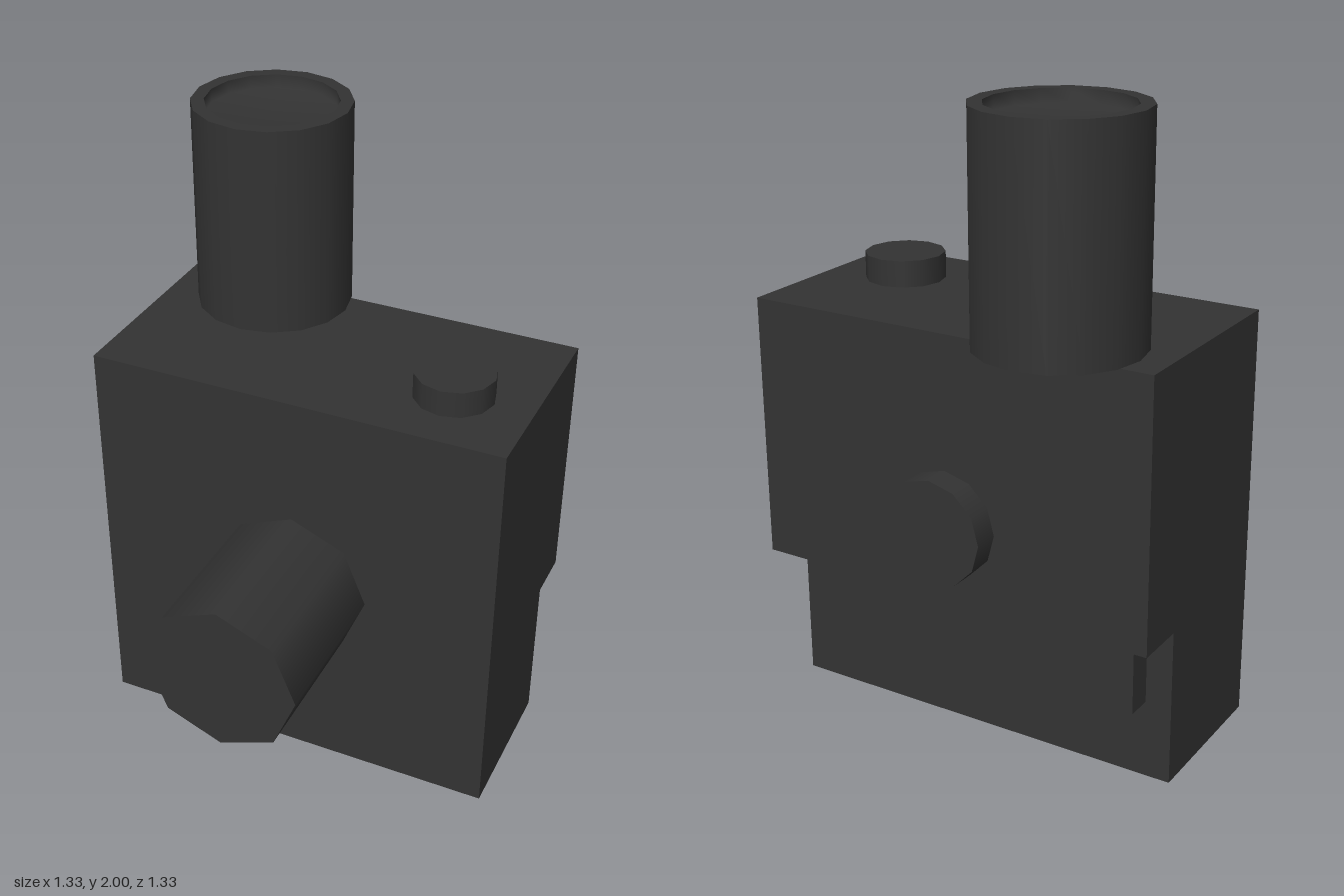
import * as THREE from 'three';

const darkPlastic = new THREE.MeshStandardMaterial({ color: 0x333333 });

function part(name, geometry, parent) {
  const mesh = new THREE.Mesh(geometry, darkPlastic);
  mesh.name = name;
  parent.add(mesh);
  return mesh;
}

function polygon(points) {
  return new THREE.Shape(points.map(([x, y]) => new THREE.Vector2(x, y)));
}

function extrude(points, depth) {
  return new THREE.ExtrudeGeometry(polygon(points), { depth, bevelEnabled: false });
}

export function createModel() {
  const model = new THREE.Group();
  model.name = 'camera';

  // Body: stepped side profile (z, y) extruded across the width
  const width = 1.333;
  const body = extrude([
    [0.167, 0], [0.167, 1.333], [-0.5, 1.333],
    [-0.5, 0.5], [-0.333, 0.5], [-0.333, 0],
  ], width);
  body.translate(0, 0, -width / 2).rotateY(-Math.PI / 2);
  part('body', body, model);

  // Octagonal front barrel
  const barrel = new THREE.CylinderGeometry(0.25, 0.25, 0.5, 8).rotateX(Math.PI / 2);
  part('frontBarrel', barrel, model).position.set(0, 0.667, 0.417);

  // Round dial on the back
  const dial = new THREE.CylinderGeometry(0.167, 0.167, 0.083, 12).rotateX(Math.PI / 2);
  part('backDial', dial, model).position.set(0, 0.75, -0.5415);

  // Button on top
  const button = new THREE.CylinderGeometry(0.125, 0.125, 0.083, 12);
  part('topButton', button, model).position.set(0.417, 1.3745, -0.083);

  // Raised back plate with clipped lower corners
  const plate = extrude([
    [-0.583, 0.5], [-0.583, 0.25], [-0.417, 0.083],
    [0.417, 0.083], [0.583, 0.25], [0.583, 0.5],
  ], 0.083);
  part('backPlate', plate, model).position.z = -0.416;

  // Upright tube with a shallow recess at the top, one lathe per smooth surface
  const tube = new THREE.Group();
  tube.name = 'uprightTube';
  tube.position.set(-0.333, 1.333, -0.417);
  model.add(tube);
  const surfaces = {
    tubeBase: [[0, 0], [0.25, 0]],
    tubeWall: [[0.25, 0], [0.25, 0.667]],
    tubeRim: [[0.25, 0.667], [0.208, 0.667]],
    tubeRecess: [[0.208, 0.667], [0.208, 0.625], [0, 0.625]],
  };
  for (const [name, points] of Object.entries(surfaces)) {
    const profile = points.map(([r, y]) => new THREE.Vector2(r, y));
    part(name, new THREE.LatheGeometry(profile, 16), tube);
  }

  return model;
}
